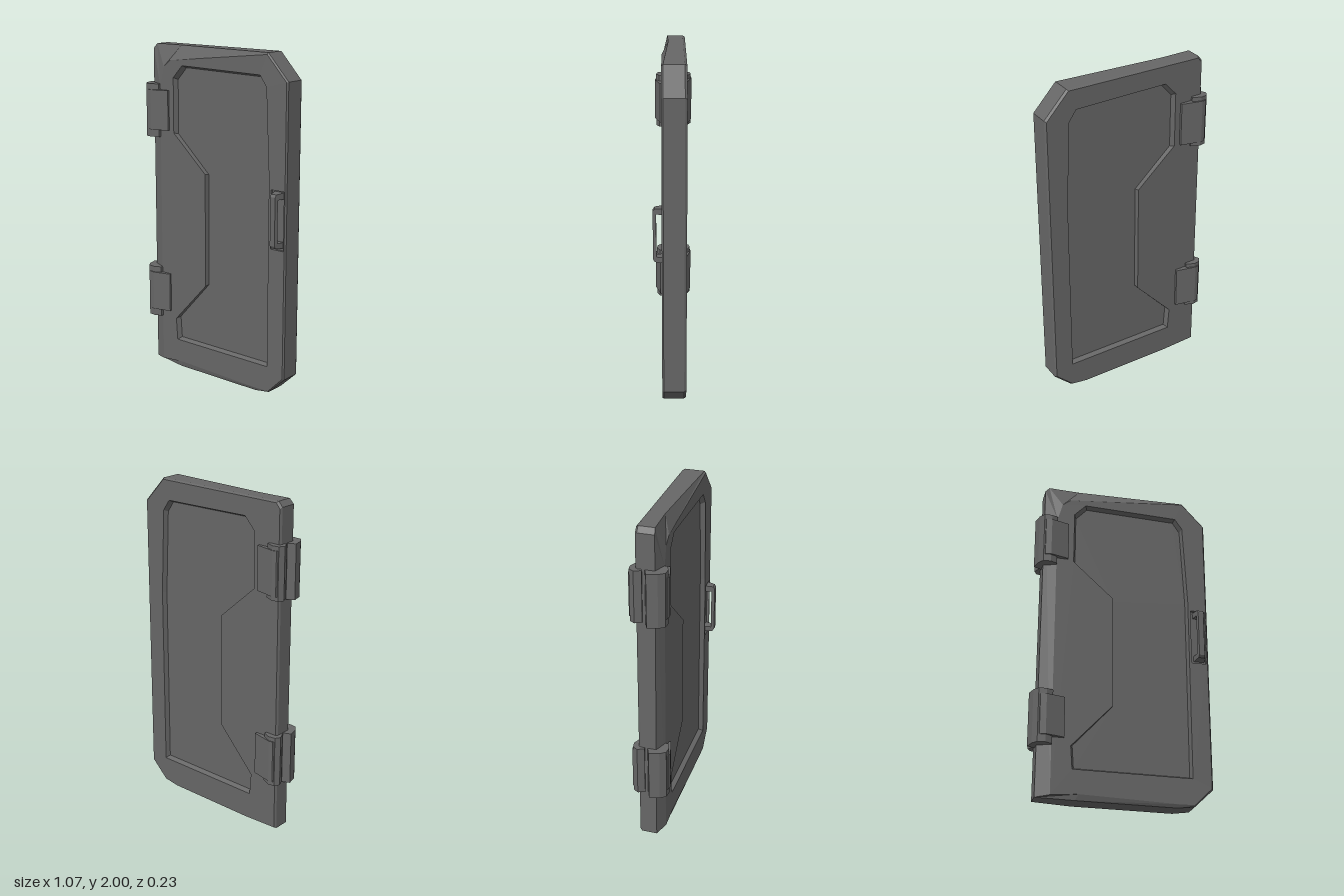
import * as THREE from 'three';

const metal = new THREE.MeshStandardMaterial({ color: 0x666666 });
metal.name = 'dark grey metal';

// outer edge of the slab [x, y, front z] and the matching edge of its front face
const edge = [[-0.49, 0.01, 0.03], [-0.27, 0, 0.055], [0.32, 0, 0.055], [0.42, 0.015, 0.055], [0.53, 0.12, 0.055],
  [0.53, 1.85, 0.055], [0.39, 2, 0.055], [-0.27, 2, 0.025], [-0.46, 2, 0.03], [-0.485, 1.97, 0.035]];
const face = [[-0.41, 0.02], [-0.25, 0.035], [0.33, 0.02], [0.42, 0.022], [0.522, 0.125],
  [0.522, 1.847], [0.388, 1.99], [-0.33, 1.91], [-0.38, 1.87], [-0.41, 1.76]];
// recessed panel and handle pocket
const recess = [[-0.29, 0.175], [0.41, 0.175], [0.41, 1.3], [0.385, 1.81], [0.34, 1.875], [-0.235, 1.885],
  [-0.305, 1.81], [-0.305, 1.48], [-0.06, 1.26], [-0.06, 0.57], [-0.3, 0.31]];
const pocket = [[0.425, 0.895], [0.515, 0.895], [0.515, 1.24], [0.425, 1.24]];

const ring = (pts, z, cx = 0, cy = 0, sx = 1, sy = 1) =>
  pts.map(([x, y]) => new THREE.Vector3(cx + (x - cx) * sx, cy + (y - cy) * sy, z));

// wall between two rings; a lies behind b
function wall(out, a, b, inward = false) {
  a.forEach((p, i) => {
    const j = (i + 1) % a.length;
    const quad = [p, a[j], b[j], p, b[j], b[i]];
    out.push(...(inward ? quad.reverse() : quad));
  });
}

// flat cap with holes, facing front or back
function cap(out, outer, holes, front) {
  const all = [outer, ...holes].flat();
  for (const t of THREE.ShapeUtils.triangulateShape(outer.slice(), holes.map(h => h.slice()))) {
    const [a, b, c] = t.map(i => all[i]);
    const ccw = (b.x - a.x) * (c.y - a.y) - (b.y - a.y) * (c.x - a.x) > 0;
    out.push(...(ccw === front ? [a, b, c] : [a, c, b]));
  }
}

function meshFrom(points, name) {
  const geo = new THREE.BufferGeometry().setFromPoints(points);
  geo.computeVertexNormals();
  const mesh = new THREE.Mesh(geo, metal);
  mesh.name = name;
  return mesh;
}

// profile drawn in x/z, extruded upward from y0 to y1
function upright(profile, y0, y1, name) {
  const shape = new THREE.Shape(profile.map(([x, z]) => new THREE.Vector2(x, -z)));
  const geo = new THREE.ExtrudeGeometry(shape, { depth: y1 - y0, bevelEnabled: false });
  geo.rotateX(-Math.PI / 2).translate(0, y0, 0);
  const mesh = new THREE.Mesh(geo, metal);
  mesh.name = name;
  return mesh;
}

function createDoor() {
  const door = new THREE.Group();
  door.name = 'door';
  const frame = [], panels = [];

  // bevelled outer wall
  const back = ring(edge, -0.075, 0.02, 1, 0.984, 0.992);
  const rear = ring(edge, -0.062);
  const fore = edge.map(p => new THREE.Vector3(...p));
  const front = ring(face, 0.064);
  wall(frame, back, rear);
  wall(frame, rear, fore);
  wall(frame, fore, front);

  // recess walls and panels on both sides
  const deep = z => ring(recess, z, 0.1, 1, 0.965, 0.985);
  const frontHole = ring(recess, 0.064), backHole = ring(recess, -0.075);
  const pocketTop = ring(pocket, 0.064), pocketFloor = ring(pocket, 0.048);
  wall(frame, deep(0.036), frontHole, true);
  wall(frame, backHole, deep(-0.047), true);
  wall(frame, pocketFloor, pocketTop, true);
  cap(frame, pocketFloor, [], true);
  cap(frame, front, [frontHole, pocketTop], true);
  cap(frame, back, [backHole], false);
  cap(panels, deep(0.036), [], true);
  cap(panels, deep(-0.047), [], false);

  door.add(meshFrom(frame, 'frame'), meshFrom(panels, 'recessedPanels'));
  return door;
}

function createHinge(y, name) {
  const hinge = new THREE.Group();
  hinge.name = name;
  const frontBarrel = [[-0.535, 0], [-0.52, 0.06], [-0.495, 0.094], [-0.45, 0.098], [-0.41, 0.08], [-0.41, 0.03], [-0.49, -0.02]];
  const frontPlate = [[-0.505, 0.04], [-0.485, 0.1], [-0.45, 0.106], [-0.34, 0.076], [-0.34, 0.05], [-0.45, 0.02]];
  const backBarrel = [[-0.5, -0.035], [-0.518, -0.075], [-0.5, -0.105], [-0.46, -0.112], [-0.41, -0.09], [-0.42, -0.05]];
  const backPlate = [[-0.515, -0.075], [-0.49, -0.113], [-0.465, -0.117], [-0.34, -0.09], [-0.34, -0.065], [-0.45, -0.05]];
  hinge.add(
    upright(frontBarrel, y - 0.16, y + 0.16, 'frontBarrel'),
    upright(frontPlate, y - 0.115, y + 0.125, 'frontPlate'),
    upright(backBarrel, y - 0.15, y + 0.16, 'backBarrel'),
    upright(backPlate, y - 0.125, y + 0.135, 'backPlate'));
  return hinge;
}

// C-shaped pull handle, tapering toward the front
function createHandle() {
  const s = new THREE.Shape([[0.045, 0.91], [0.103, 0.915], [0.113, 0.93], [0.113, 1.212], [0.103, 1.227], [0.045, 1.232],
    [0.045, 1.195], [0.094, 1.195], [0.094, 0.945], [0.045, 0.945]].map(p => new THREE.Vector2(...p)));
  const geo = new THREE.ExtrudeGeometry(s, { depth: 0.066, bevelEnabled: false });
  geo.translate(0, 0, -0.033).rotateY(-Math.PI / 2);
  const pos = geo.attributes.position;
  for (let i = 0; i < pos.count; i++) {
    const taper = 1 - 0.5 * THREE.MathUtils.clamp((pos.getZ(i) - 0.06) / 0.053, 0, 1);
    pos.setX(i, 0.474 + pos.getX(i) * taper);
  }
  geo.computeVertexNormals();
  const mesh = new THREE.Mesh(geo, metal);
  mesh.name = 'handle';
  return mesh;
}

export function createModel() {
  const model = new THREE.Group();
  model.name = 'panelDoor';
  model.add(createDoor(), createHinge(1.606, 'upperHinge'), createHinge(0.468, 'lowerHinge'), createHandle());
  return model;
}
